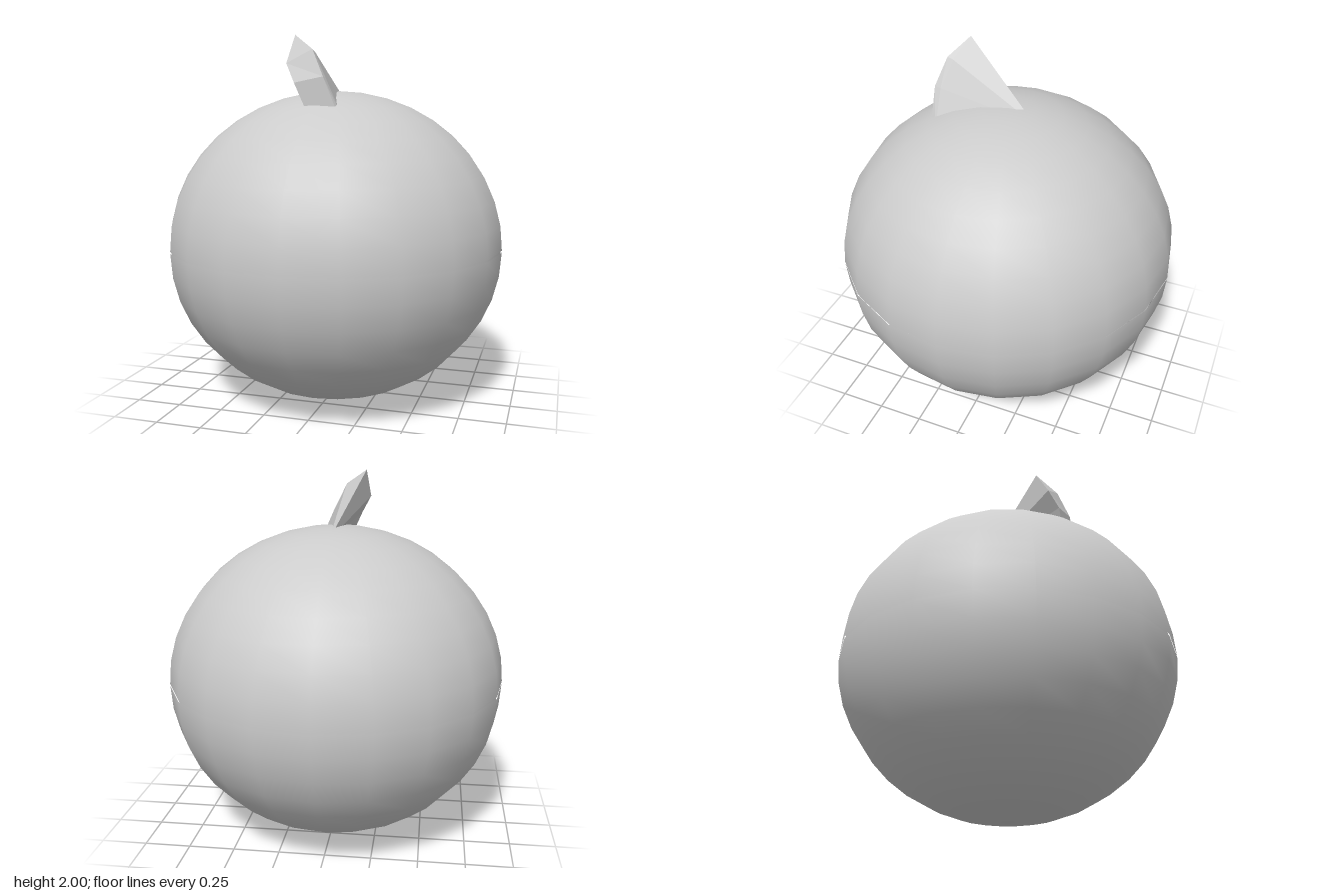
import * as THREE from 'three';

const material = new THREE.MeshStandardMaterial({ color: 0xcccccc });
const flatMaterial = new THREE.MeshStandardMaterial({ color: 0xcccccc, flatShading: true });
const RADIUS = 0.93, SIDES = 20;

// Smooth half shell, slightly squashed in height
function halfShell(name, height, y, thetaStart) {
  const geometry = new THREE.SphereGeometry(RADIUS, SIDES, 10, 0, Math.PI * 2, thetaStart, Math.PI / 2);
  geometry.scale(1, height / RADIUS, 1);
  const mesh = new THREE.Mesh(geometry, material);
  mesh.name = name;
  mesh.position.y = y;
  return mesh;
}

// Leaning wedge: a front outline, a narrow bevel on its right and walls tapering to the back
function createStem() {
  const apex = [-0.14, 2.0, 0.265];
  const left = [[-0.16, 1.85, 0.35], [-0.105, 1.75, 0.39], [-0.02, 1.56, 0.385]];
  const right = [[-0.02, 1.92, 0.345], [0.05, 1.78, 0.39], [0.14, 1.56, 0.385]];
  const bevel = [[-0.018, 1.91, 0.312], [0.054, 1.775, 0.356], [0.15, 1.56, 0.355]];
  const back = [0.02, 1.65, -0.155];

  const points = [];
  const tri = (a, b, c) => points.push(...a, ...b, ...c);
  const quad = (a, b, c, d) => { tri(a, b, c); tri(a, c, d); };

  // Tip
  tri(apex, left[0], right[0]);
  tri(apex, right[0], bevel[0]);
  tri(back, left[0], apex);
  tri(back, apex, bevel[0]);
  // Front, bevel and side walls, row by row
  for (let i = 0; i < 2; i++) {
    quad(left[i], left[i + 1], right[i + 1], right[i]);
    quad(right[i], right[i + 1], bevel[i + 1], bevel[i]);
    tri(back, left[i + 1], left[i]);
    tri(back, bevel[i], bevel[i + 1]);
  }
  // Buried underside
  quad(back, bevel[2], right[2], left[2]);

  const geometry = new THREE.BufferGeometry();
  geometry.setAttribute('position', new THREE.Float32BufferAttribute(points, 3));
  geometry.computeVertexNormals();
  const mesh = new THREE.Mesh(geometry, flatMaterial);
  mesh.name = 'stem';
  return mesh;
}

export function createModel() {
  const model = new THREE.Group();
  model.name = 'ballWithStem';

  model.add(halfShell('upperShell', 0.85, 0.865, 0));
  model.add(halfShell('lowerShell', 0.855, 0.855, Math.PI / 2));

  // Recessed band behind the thin seam between the shells
  const seam = new THREE.Mesh(
    new THREE.CylinderGeometry(0.922, 0.922, 0.03, SIDES, 1, true), material);
  seam.name = 'seamBand';
  seam.position.y = 0.86;
  model.add(seam);

  model.add(createStem());
  return model;
}
